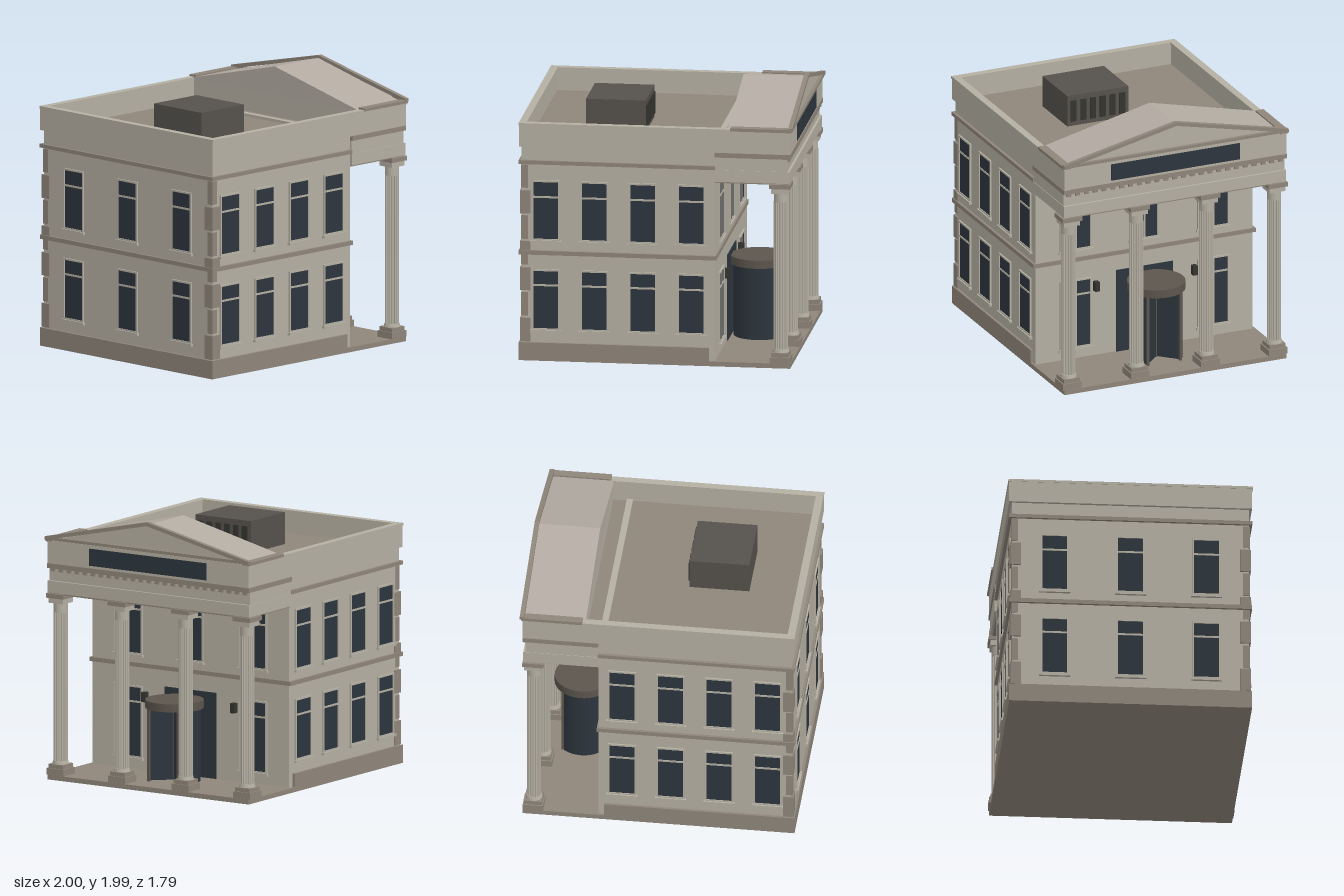
import * as THREE from 'three';

const mat = (name, color, extra = {}) => Object.assign(new THREE.MeshStandardMaterial({ color, ...extra }), { name });

export function createModel() {
  const stone = mat('limestone', 0xb4afa2);
  const trim = mat('darkStone', 0x8f867a);
  const roofing = mat('flatRoof', 0x8f867a);
  const slope = mat('gableRoof', 0xb3aba2);
  const glass = mat('glass', 0x2c353d, { side: THREE.DoubleSide });
  const bronze = mat('bronze', 0x5c554d);
  const dark = mat('darkMetal', 0x55514c);
  const black = mat('grille', 0x33332f);

  const model = new THREE.Group();
  const add = (name, geo, m, parent = model) => {
    const mesh = new THREE.Mesh(geo, m);
    mesh.name = name;
    parent.add(mesh);
    return mesh;
  };
  const group = (name) => {
    const g = new THREE.Group();
    g.name = name;
    model.add(g);
    return g;
  };
  // Box given by its limits on each axis
  const box = (name, m, x0, x1, y0, y1, z0, z1, parent) => {
    const geo = new THREE.BoxGeometry(x1 - x0, y1 - y0, z1 - z0);
    geo.translate((x0 + x1) / 2, (y0 + y1) / 2, (z0 + z1) / 2);
    return add(name, geo, m, parent);
  };
  const extrude = (shape, depth) => new THREE.ExtrudeGeometry(shape, { depth, bevelEnabled: false });
  const poly = (pts) => new THREE.Shape(pts.map(([x, y]) => new THREE.Vector2(x, y)));

  // Main block, plinth and bands
  box('plinth', trim, -1, 0.385, 0, 0.134, -0.88, 0.88);
  box('porticoFloor', trim, 0.385, 0.98, 0, 0.035, -0.88, 0.88);
  box('walls', stone, -0.98, 0.43, 0.03, 1.585, -0.86, 0.86);
  box('stringCourse', trim, -1, 0.44, 0.787, 0.818, -0.88, 0.88);
  box('upperCourse', trim, -1, 0.432, 1.46, 1.488, -0.882, 0.882);

  // Roof and parapet
  box('roofDeck', roofing, -0.96, 0.95, 1.565, 1.595, -0.84, 0.84);
  box('roofKerb', stone, 0.385, 0.43, 1.595, 1.615, -0.83, 0.83);
  for (const s of [-1, 1]) {
    const z = [0.835, 0.88].map((v) => v * s).sort((a, b) => a - b);
    const c = [0.83, 0.885].map((v) => v * s).sort((a, b) => a - b);
    box('sideParapet', stone, -0.997, 0.98, 1.588, 1.746, z[0], z[1]);
    box('sideCap', stone, -1, 0.985, 1.746, 1.765, c[0], c[1]);
  }
  box('backParapet', stone, -0.997, -0.95, 1.588, 1.746, -0.835, 0.835);
  box('backCap', stone, -1, -0.945, 1.746, 1.765, -0.83, 0.83);

  // Quoins on the two back corners, alternating wide and narrow
  const quoins = group('quoins');
  const courses = [[0.14, 0.315], [0.33, 0.503], [0.52, 0.69], [0.71, 0.787],
    [0.818, 0.885], [0.9, 1.075], [1.09, 1.262], [1.28, 1.452]];
  courses.forEach(([y0, y1], i) => {
    const wide = i % 2 === 0;
    const out = wide ? 0.012 : 0.004;
    const len = wide ? 0.065 : 0.045;
    for (const s of [-1, 1]) {
      const z = [s * (0.86 + out), s * (0.86 - len)].sort((a, b) => a - b);
      box('quoin', trim, -0.98 - out, -0.98 + len, y0, y1, z[0], z[1], quoins);
    }
  });

  // Window facing local +z: glass plate, frame with hole, glazing bars, sill
  const windowAt = (x, z, turn, w, y0, y1, transom, mullion) => {
    const g = group('window');
    const h = w / 2, f = 0.013;
    box('pane', glass, -h, h, y0, y1, 0, 0.005, g);
    const frame = poly([[-h - f, y0 - f], [h + f, y0 - f], [h + f, y1 + f], [-h - f, y1 + f]]);
    frame.holes.push(poly([[-h, y0], [-h, y1], [h, y1], [h, y0]]));
    add('windowFrame', extrude(frame, 0.012), stone, g);
    box('transom', stone, -h, h, transom - 0.007, transom + 0.007, 0, 0.01, g);
    if (mullion) box('mullion', stone, -0.007, 0.007, y0, y1, 0, 0.01, g);
    box('sill', stone, -h - 0.023, h + 0.023, y0 - 0.03, y0 - 0.011, 0, 0.022, g);
    g.position.set(x, 0, z);
    g.rotation.y = turn;
  };
  const rows = [[0.24, 0.665, 0.56], [0.905, 1.327, 1.216]];
  for (const [y0, y1, t] of rows) {
    for (const x of [-0.802, -0.449, -0.096, 0.257]) {
      windowAt(x, 0.86, 0, 0.18, y0, y1, t, false);
      windowAt(x, -0.86, Math.PI, 0.18, y0, y1, t, false);
    }
    for (const z of [-0.55, 0, 0.55]) windowAt(-0.98, z, -Math.PI / 2, 0.18, y0, y1, t, false);
  }
  for (const z of [-0.545, 0.545]) {
    windowAt(0.43, z, Math.PI / 2, 0.225, 0.13, 0.635, 0.53, true);
    windowAt(0.43, z, Math.PI / 2, 0.225, 0.89, 1.325, 1.21, true);
  }
  windowAt(0.43, 0, Math.PI / 2, 0.2, 0.89, 1.325, 1.21, true);

  // Portico columns with fluted shafts
  const flutes = 16;
  const ring = [];
  for (let i = 0; i < flutes; i++) {
    [[0, 0.052], [0.35, 0.052], [0.52, 0.045], [0.83, 0.045]].forEach(([t, r]) => {
      const a = ((i + t) / flutes) * Math.PI * 2;
      ring.push([r * Math.cos(a), r * Math.sin(a)]);
    });
  }
  const shaftGeo = extrude(poly(ring), 1.1).rotateX(-Math.PI / 2).translate(0, 0.13, 0);
  for (const z of [-0.815, -0.278, 0.278, 0.815]) {
    const g = group('column');
    const block = (name, m, h, y0, y1) => box(name, m, -h, h, y0, y1, -h, h, g);
    block('columnPlinth', trim, 0.074, 0.035, 0.083);
    block('columnBase', trim, 0.064, 0.083, 0.113);
    add('columnTorus', new THREE.CylinderGeometry(0.055, 0.06, 0.024, 24).translate(0, 0.125, 0), stone, g);
    add('columnShaft', shaftGeo, stone, g);
    add('columnNeck', new THREE.CylinderGeometry(0.052, 0.052, 0.07, 24).translate(0, 1.263, 0), stone, g);
    block('capital', stone, 0.064, 1.297, 1.335);
    block('abacus', trim, 0.077, 1.335, 1.368);
    g.position.set(0.904, 0, z);
  }

  // Entablature
  box('porticoCeiling', trim, 0.43, 0.965, 1.362, 1.376, -0.865, 0.865);
  box('architrave', stone, 0.43, 0.975, 1.374, 1.462, -0.88, 0.88);
  box('frieze', stone, 0.43, 0.958, 1.462, 1.555, -0.876, 0.876);
  box('cornice', trim, 0.43, 0.98, 1.555, 1.59, -0.884, 0.884);
  const dentils = group('dentils');
  for (let i = 0; i < 25; i++) {
    const z = -0.84 + i * 0.07;
    box('dentil', trim, 0.955, 0.974, 1.533, 1.556, z - 0.017, z + 0.017, dentils);
  }
  box('attic', stone, 0.53, 0.98, 1.588, 1.76, -0.879, 0.879);
  box('fasciaPanel', glass, 0.979, 0.986, 1.61, 1.735, -0.51, 0.51);

  // Pediment: gable roof, raking cornice, eaves
  const alongX = (geo, x) => geo.rotateY(Math.PI / 2).translate(x, 0, 0);
  const gable = poly([[-0.87, 1.758], [0.87, 1.758], [0, 1.965]]);
  add('gableRoof', alongX(extrude(gable, 0.446), 0.522), slope);
  add('tympanum', alongX(extrude(poly([[-0.84, 1.765], [0.84, 1.765], [0, 1.965]]), 0.008), 0.966), stone);
  const rake = poly([[-0.89, 1.765], [0.89, 1.765], [0.89, 1.788], [0, 1.985], [-0.89, 1.788]]);
  rake.holes.push(poly([[-0.77, 1.787], [0, 1.957], [0.77, 1.787]]));
  add('rakingCornice', alongX(extrude(rake, 0.033), 0.966), trim);
  box('leftEave', trim, 0.545, 0.99, 1.755, 1.778, 0.83, 0.893);
  box('rightEave', trim, 0.545, 0.99, 1.755, 1.778, -0.893, -0.83);

  // Revolving door with an opening towards the street
  const door = group('revolvingDoor');
  box('doorScreen', glass, 0.43, 0.439, 0.035, 0.667, -0.225, 0.225, door);
  const gap = 0.75;
  const drum = new THREE.CylinderGeometry(0.19, 0.19, 0.535, 40, 1, true, Math.PI / 2 + gap, 2 * Math.PI - 2 * gap);
  add('doorDrum', drum.translate(0.64, 0.3025, 0), glass, door);
  add('doorCanopy', new THREE.CylinderGeometry(0.212, 0.212, 0.06, 40).translate(0.64, 0.6, 0), bronze, door);
  add('doorHub', new THREE.CylinderGeometry(0.01, 0.01, 0.535, 12).translate(0.64, 0.3025, 0), bronze, door);
  for (let i = 0; i < 4; i++) {
    const wing = box('doorWing', glass, 0.01, 0.18, 0.04, 0.57, -0.004, 0.004, door);
    wing.position.x = 0.64;
    wing.rotation.y = Math.PI / 4 + (i * Math.PI) / 2;
  }
  for (const s of [-1, 1]) {
    const x = 0.64 + 0.19 * Math.cos(gap), z = s * 0.19 * Math.sin(gap);
    box('doorPost', bronze, x - 0.009, x + 0.009, 0.035, 0.57, z - 0.009, z + 0.009, door);
    box('wallLamp', black, 0.43, 0.472, 0.54, 0.612, s * 0.388 - 0.018, s * 0.388 + 0.018);
  }

  // Rooftop plant unit with vertical louvres
  const unit = group('roofUnit');
  box('unitBody', dark, -0.58, -0.145, 1.59, 1.83, -0.135, 0.35, unit);
  for (let i = 0; i < 6; i++) {
    const z = -0.083 + i * 0.077;
    box('louvre', black, -0.146, -0.135, 1.63, 1.79, z - 0.022, z + 0.022, unit);
  }
  return model;
}
